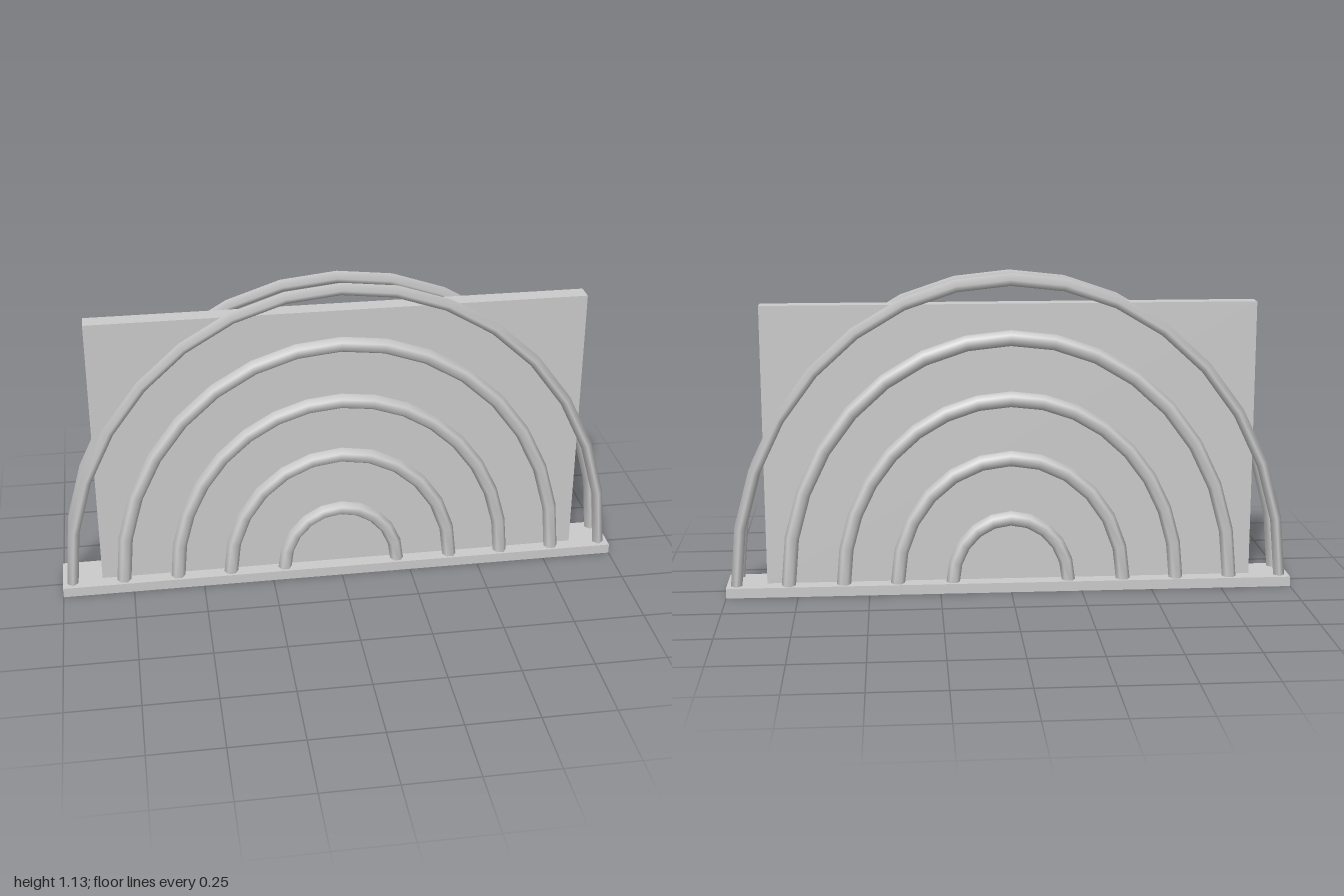
import * as THREE from 'three';

const BASE_H = 0.035;

export function createModel() {
  const model = new THREE.Group();
  model.name = 'archStand';
  const grey = new THREE.MeshStandardMaterial({ color: 0xcccccc });

  function box(name, w, h, d, y, z) {
    const mesh = new THREE.Mesh(new THREE.BoxGeometry(w, h, d), grey);
    mesh.name = name;
    mesh.position.set(0, y + h / 2, z);
    model.add(mesh);
  }

  // Base plate and upright panel
  box('base', 2, BASE_H, 0.17, 0, 0);
  box('panel', 1.72, 1.02 - BASE_H, 0.064, BASE_H, 0.002);

  // Concentric half rings: [radius, tube radius, tube sides, arc segments]
  const arches = [
    [0.205, 0.024, 6, 10],
    [0.4, 0.025, 6, 12],
    [0.59, 0.025, 6, 16],
    [0.783, 0.025, 6, 16],
    [0.965, 0.02, 4, 16],
  ];

  // One set on each side of the panel, slightly stretched upward
  for (const [side, z] of [['front', 0.054], ['back', -0.054]]) {
    const set = new THREE.Group();
    set.name = side + 'Arches';
    set.position.set(0, BASE_H, z);
    set.scale.y = 1.11;
    arches.forEach(([radius, tube, sides, segments], i) => {
      const arch = new THREE.Mesh(
        new THREE.TorusGeometry(radius, tube, sides, segments, Math.PI), grey);
      arch.name = side + 'Arch' + (i + 1);
      set.add(arch);
    });
    model.add(set);
  }

  return model;
}
